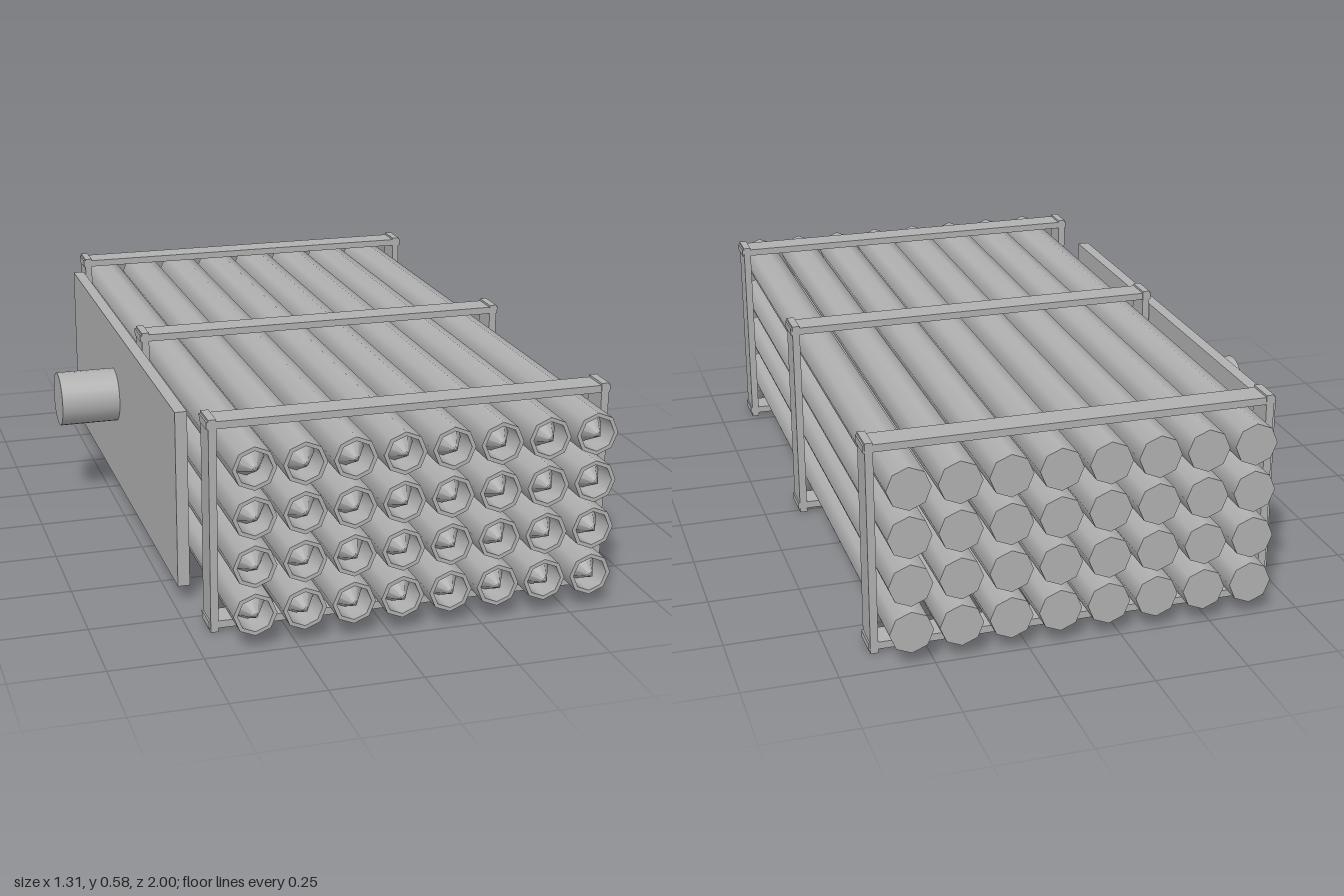
import * as THREE from 'three';
import { toCreasedNormals } from 'three/addons/utils/BufferGeometryUtils.js';

export function createModel() {
  const model = new THREE.Group();
  model.name = 'rocketPod';
  const metal = new THREE.MeshStandardMaterial({ color: 0xb0b0b0 });
  metal.name = 'grey metal';

  const add = (parent, geometry, name, x, y, z) => {
    const mesh = new THREE.Mesh(geometry, metal);
    mesh.name = name;
    mesh.position.set(x, y, z);
    parent.add(mesh);
    return mesh;
  };

  // Launch tube: closed rear, outer wall, rim, recessed bore and pointed nose
  const profile = [
    [0, -1], [0.058, -1], [0.058, 0.983], [0.047, 0.983], [0.047, 0.9], [0, 1],
  ].map(([r, y]) => new THREE.Vector2(r, y));
  const tube = toCreasedNormals(new THREE.LatheGeometry(profile, 8).rotateX(Math.PI / 2), 1);

  const tubes = new THREE.Group();
  tubes.name = 'launchTubes';
  model.add(tubes);
  for (let row = 0; row < 4; row++) {
    for (let col = 0; col < 8; col++) {
      add(tubes, tube, 'launchTube', -0.361 + col * 0.1317, 0.096 + row * 0.1317, 0);
    }
  }

  // Three rectangular frames around the bundle
  const bar = new THREE.BoxGeometry(1.104, 0.02, 0.078);
  const post = new THREE.BoxGeometry(0.021, 0.584, 0.082);
  for (const z of [0.817, 0.026, -0.867]) {
    const frame = new THREE.Group();
    frame.name = 'frame';
    frame.position.z = z;
    model.add(frame);
    for (const y of [0.02, 0.568]) add(frame, bar, 'frameBar', 0.1, y, 0);
    for (const x of [-0.437, 0.637]) add(frame, post, 'framePost', x, 0.292, 0);
  }

  // Side plate with its round mounting stub
  add(model, new THREE.BoxGeometry(0.033, 0.494, 1.487), 'mountPlate', -0.469, 0.292, -0.096);
  const stub = new THREE.CylinderGeometry(0.08, 0.08, 0.175, 24).rotateZ(Math.PI / 2);
  add(model, stub, 'mountStub', -0.5705, 0.326, -0.178);

  return model;
}
